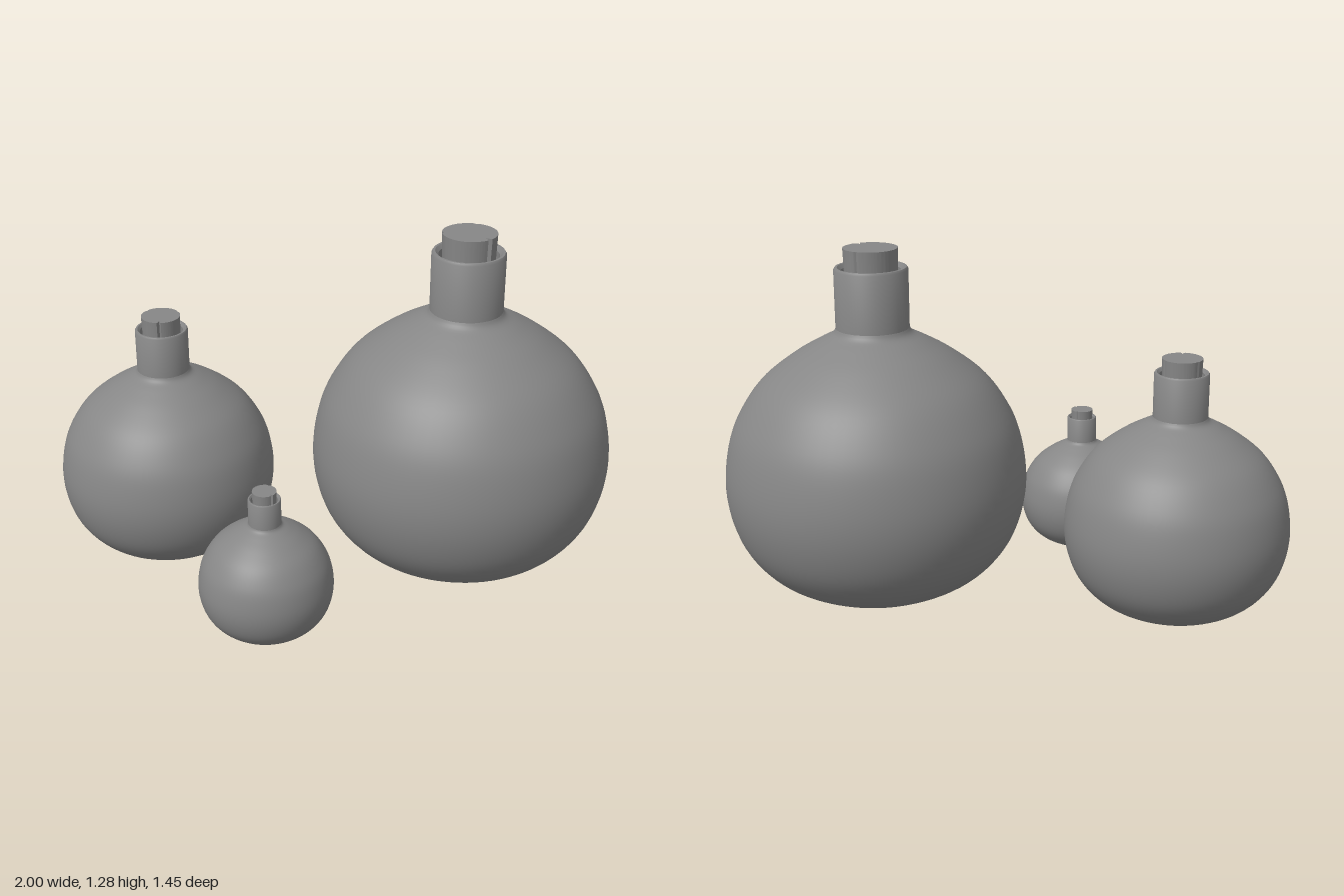
import * as THREE from 'three';
import { toCreasedNormals } from 'three/addons/utils/BufferGeometryUtils.js';

const material = new THREE.MeshStandardMaterial({ color: 0x868686, side: THREE.DoubleSide });
const v2 = ([x, y]) => new THREE.Vector2(x, y);

// Full round belly with a flattened base and a shoulder that sweeps into the neck
function bellyGeometry() {
  const curve = new THREE.SplineCurve([
    [0, 0], [0.08, 0.002], [0.165, 0.011], [0.268, 0.04], [0.393, 0.11], [0.481, 0.21], [0.528, 0.33],
    [0.541, 0.46], [0.519, 0.6], [0.475, 0.705], [0.4, 0.808], [0.29, 0.895], [0.2, 0.948], [0.145, 0.977], [0.129, 1.0],
  ].map(v2));
  return new THREE.LatheGeometry(curve.getPoints(64), 72);
}

// Hollow neck with a softly bevelled rim
function neckGeometry() {
  const profile = [
    [0.13, 0.95], [0.13, 1.205], [0.125, 1.213], [0.117, 1.213],
    [0.106, 1.2], [0.106, 1.05], [0, 1.05],
  ];
  return toCreasedNormals(new THREE.LatheGeometry(profile.map(v2), 64), 0.6);
}

// Tapered stopper with small V-shaped nicks cut into its edge
function stopperGeometry() {
  const radius = 0.096, bottom = 1.06, height = 0.22;
  const nicks = [[0, 0.022], [2.1, 0.006], [4.0, 0.006]];
  const count = 120;
  const points = [];
  for (let i = 0; i < count; i++) {
    const a = (i / count) * Math.PI * 2;
    let r = radius;
    for (const [angle, depth] of nicks) {
      const d = Math.abs(Math.atan2(Math.sin(a - angle), Math.cos(a - angle)));
      r -= depth * Math.max(0, 1 - d / 0.09);
    }
    points.push(new THREE.Vector2(r * Math.cos(a), r * Math.sin(a)));
  }
  const geometry = new THREE.ExtrudeGeometry(new THREE.Shape(points), { depth: height, bevelEnabled: false });
  geometry.rotateX(-Math.PI / 2).translate(0, bottom, 0);
  const p = geometry.attributes.position;
  for (let i = 0; i < p.count; i++) {
    const s = 0.92 + 0.08 * (p.getY(i) - bottom) / height;
    p.setX(i, p.getX(i) * s);
    p.setZ(i, p.getZ(i) * s);
  }
  geometry.computeVertexNormals();
  return toCreasedNormals(geometry, 0.6);
}

export function createModel() {
  const group = new THREE.Group();
  const parts = { belly: bellyGeometry(), neck: neckGeometry(), stopper: stopperGeometry() };

  // Three sizes of the same flask, each turned so its nick faces its own way
  const flasks = [
    { name: 'largeFlask', x: 0.459, y: 0.003, z: -0.187, scale: 1, turn: -0.6 },
    { name: 'mediumFlask', x: -0.607, y: 0.014, z: 0.026, scale: 0.728, turn: -1.3 },
    { name: 'smallFlask', x: -0.083, y: 0.014, z: 0.494, scale: 0.43, turn: -0.6 },
  ];
  for (const { name, x, y, z, scale, turn } of flasks) {
    const flask = new THREE.Group();
    flask.name = name;
    for (const [part, geometry] of Object.entries(parts)) {
      const mesh = new THREE.Mesh(geometry, material);
      mesh.name = part;
      flask.add(mesh);
    }
    flask.position.set(x, y, z);
    flask.scale.setScalar(scale);
    flask.rotation.y = turn;
    group.add(flask);
  }
  return group;
}
